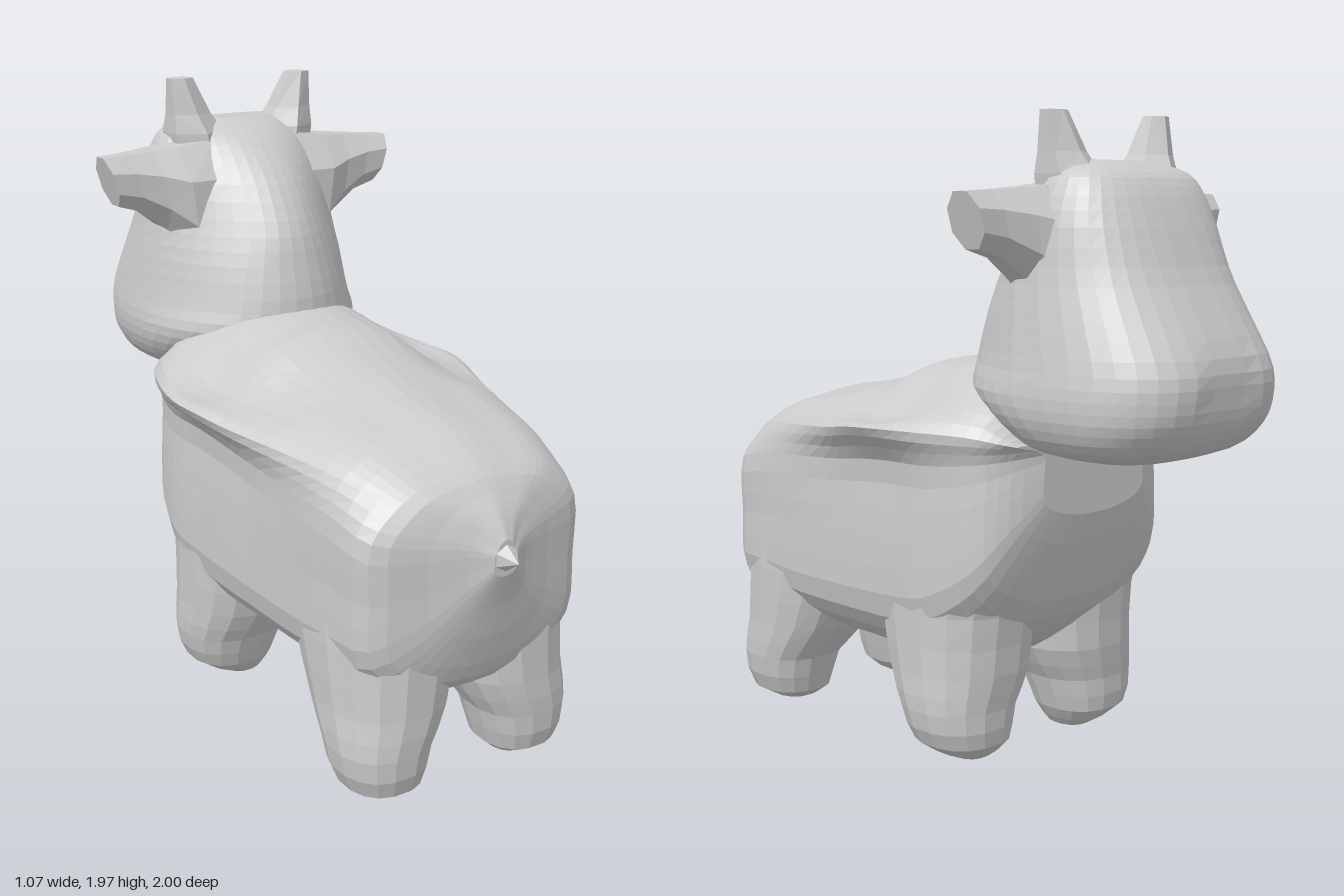
import * as THREE from 'three';

const material = new THREE.MeshStandardMaterial({ color: 0xcccccc, flatShading: true });

// Smoothly resample a short table of cross-section parameters.
function resample(rows, count) {
  const out = [];
  const last = rows.length - 1;
  for (let i = 0; i <= count; i++) {
    const t = (i / count) * last;
    const k = Math.min(Math.floor(t), last - 1);
    const f = t - k;
    const a = rows[Math.max(k - 1, 0)], b = rows[k], c = rows[k + 1], d = rows[Math.min(k + 2, last)];
    out.push(b.map((v, j) => v + 0.5 * f * (c[j] - a[j] + f * (2 * a[j] - 5 * v + 4 * c[j] - d[j] + f * (3 * (v - c[j]) + d[j] - a[j])))));
  }
  return out;
}

// Skin closed rings of points, cap both ends and face the surface outward.
function loft(rings) {
  const n = rings[0].length;
  const points = rings.flat();
  const index = [];
  for (let r = 0; r < rings.length - 1; r++) {
    for (let i = 0; i < n; i++) {
      const a = r * n + i, b = r * n + (i + 1) % n;
      index.push(a, b, a + n, b, b + n, a + n);
    }
  }
  [[0, false], [rings.length - 1, true]].forEach(([r, end]) => {
    const c = points.length;
    points.push(rings[r].reduce((s, p) => s.add(p), new THREE.Vector3()).divideScalar(n));
    for (let i = 0; i < n; i++) {
      const a = r * n + i, b = r * n + (i + 1) % n;
      index.push(...(end ? [c, a, b] : [c, b, a]));
    }
  });
  let volume = 0;
  const cross = new THREE.Vector3();
  for (let i = 0; i < index.length; i += 3) {
    volume += points[index[i]].dot(cross.crossVectors(points[index[i + 1]], points[index[i + 2]]));
  }
  if (volume < 0) index.reverse();
  const geometry = new THREE.BufferGeometry().setFromPoints(points);
  geometry.setIndex(index);
  geometry.computeVertexNormals();
  return geometry;
}

// Ring of n points from a function of cosine and sine.
function ring(n, fn) {
  return Array.from({ length: n }, (_, i) => {
    const a = ((i + 0.5) / n) * Math.PI * 2;
    return new THREE.Vector3(...fn(Math.cos(a), Math.sin(a)));
  });
}

const soft = (v, p) => Math.sign(v) * Math.pow(Math.abs(v), p);

export function createModel() {
  const model = new THREE.Group();
  const add = (name, geometry) => {
    const mesh = new THREE.Mesh(geometry, material);
    mesh.name = name;
    model.add(mesh);
  };

  // Body: z, top, shoulder x, shoulder y, flank half width, belly
  const bodyRows = [
    [0.945, 0.84, 0.03, 0.81, 0.04, 0.73],
    [0.91, 0.90, 0.075, 0.85, 0.10, 0.62],
    [0.87, 0.95, 0.16, 0.89, 0.21, 0.47],
    [0.81, 1.01, 0.28, 0.94, 0.365, 0.34],
    [0.65, 1.09, 0.35, 0.99, 0.40, 0.31],
    [0.45, 1.125, 0.40, 1.01, 0.41, 0.285],
    [0.22, 1.175, 0.465, 1.03, 0.42, 0.28],
    [0.08, 1.23, 0.505, 1.05, 0.43, 0.28],
    [-0.05, 1.245, 0.52, 1.06, 0.435, 0.285],
    [-0.22, 1.28, 0.48, 1.06, 0.44, 0.32],
    [-0.38, 1.27, 0.42, 1.055, 0.40, 0.46],
    [-0.46, 1.20, 0.37, 1.04, 0.32, 0.65],
    [-0.50, 1.12, 0.33, 1.03, 0.22, 0.80],
  ];
  add('body', loft(resample(bodyRows, 36).map(([z, top, sx, sy, w, bot]) => {
    const flare = THREE.MathUtils.clamp((sx - w) / 0.09, 0, 1);
    const h = sy - bot;
    const half = [
      [sx * 0.4, top - (top - sy) * 0.2],
      [sx * 0.75, sy + (top - sy) * (0.55 - 0.48 * flare)],
      [sx, sy],
      [w * 0.985, sy - h * 0.14],
      [w, sy - h * 0.45],
      [w * 0.97, sy - h * 0.77],
      [w * 0.62, bot + h * 0.06],
    ];
    const outline = [[0, top], ...half, [0, bot], ...half.slice().reverse().map(([x, y]) => [-x, y])];
    const curve = new THREE.CatmullRomCurve3(outline.map(([x, y]) => new THREE.Vector3(x, y, z)), true);
    return curve.getPoints(48).slice(0, 48);
  })));

  // Head and neck: y, muzzle z, nape z, face half width, nape half width
  const headRows = [
    [0.995, -0.82, -0.46, 0.21, 0.22],
    [1.03, -0.91, -0.36, 0.32, 0.32],
    [1.10, -0.98, -0.24, 0.37, 0.38],
    [1.18, -1.01, -0.13, 0.385, 0.37],
    [1.27, -1.005, -0.115, 0.375, 0.31],
    [1.40, -0.93, -0.14, 0.355, 0.26],
    [1.52, -0.86, -0.175, 0.335, 0.20],
    [1.66, -0.80, -0.26, 0.315, 0.18],
    [1.76, -0.75, -0.36, 0.28, 0.18],
    [1.81, -0.70, -0.43, 0.24, 0.17],
    [1.84, -0.60, -0.49, 0.16, 0.14],
  ];
  add('head', loft(resample(headRows, 26).map(([y, zf, zb, wf, wb]) => ring(36, (c, s) => {
    const p = s < 0 ? 0.7 : 0.95;
    const u = soft(s, p);
    const x = soft(c, p) * (wf + (wb - wf) * Math.max(0, u));
    // shallow groove down the middle of the muzzle
    const groove = s < 0 ? 0.03 * Math.exp(-((x / 0.12) ** 2) - ((y - 1.2) / 0.1) ** 2) : 0;
    return [x, y, (zf + zb) / 2 + u * (zb - zf) / 2 + groove];
  }))));

  // Legs: y, centre x, centre z, radius x, radius z
  const frontLeg = [
    [0.025, 0.23, -0.19, 0.06, 0.07],
    [0.09, 0.265, -0.20, 0.14, 0.14],
    [0.20, 0.265, -0.185, 0.175, 0.165],
    [0.31, 0.235, -0.16, 0.205, 0.205],
    [0.50, 0.225, -0.14, 0.215, 0.24],
    [0.72, 0.22, -0.17, 0.22, 0.28],
    [0.92, 0.20, -0.19, 0.22, 0.29],
  ];
  const backLeg = [
    [0.005, 0.23, 0.69, 0.03, 0.03],
    [0.055, 0.25, 0.695, 0.12, 0.13],
    [0.18, 0.25, 0.688, 0.155, 0.16],
    [0.30, 0.215, 0.64, 0.19, 0.21],
    [0.50, 0.20, 0.59, 0.21, 0.26],
    [0.70, 0.19, 0.57, 0.21, 0.28],
  ];
  // Ears: x, centre y, centre z, radius y, radius z
  const ear = [
    [0.12, 1.58, -0.50, 0.22, 0.15],
    [0.26, 1.59, -0.50, 0.19, 0.15],
    [0.34, 1.63, -0.495, 0.14, 0.11],
    [0.43, 1.66, -0.485, 0.10, 0.08],
    [0.51, 1.67, -0.48, 0.085, 0.07],
  ];
  // Horns: y, centre x, centre z, radius x, radius z
  const horn = [
    [1.70, 0.15, -0.55, 0.11, 0.12],
    [1.80, 0.17, -0.54, 0.10, 0.10],
    [1.86, 0.19, -0.535, 0.075, 0.07],
    [1.975, 0.22, -0.53, 0.045, 0.035],
  ];
  for (const [side, m] of [['left', 1], ['right', -1]]) {
    const upright = (rows, n, p) => loft(rows.map(([y, cx, cz, rx, rz]) =>
      ring(n, (c, s) => [m * (cx + soft(c, p) * rx), y, cz + soft(s, p) * rz])));
    add(side + 'FrontLeg', upright(resample(frontLeg, 12), 16, 0.85));
    add(side + 'BackLeg', upright(resample(backLeg, 10), 16, 0.85));
    add(side + 'Horn', upright(horn, 6, 1));
    // slanted tip, longer along its top edge
    add(side + 'Ear', loft(ear.map(([x, cy, cz, ry, rz]) =>
      ring(8, (c, s) => [m * (x + 0.025 * s), cy + s * ry, cz + c * rz]))));
  }

  // Tail: a short pointed stub
  const tail = new THREE.ConeGeometry(0.08, 0.11, 6);
  tail.rotateX(Math.PI / 2).translate(0, 0.785, 0.945);
  add('tail', tail);

  return model;
}
